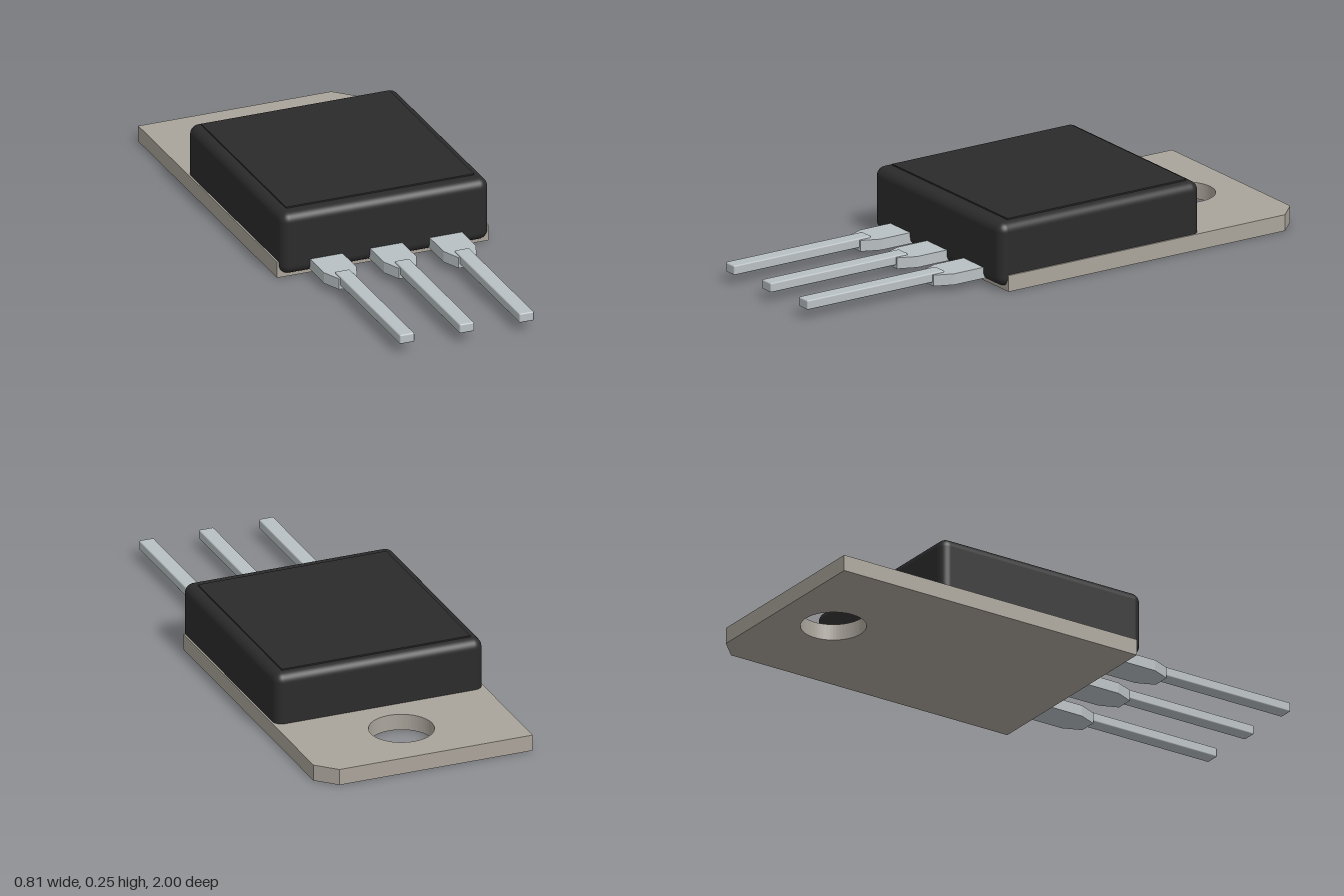
import * as THREE from 'three';
import { RoundedBoxGeometry } from 'three/addons/geometries/RoundedBoxGeometry.js';

const material = (name, color) => {
  const m = new THREE.MeshStandardMaterial({ color });
  m.name = name;
  return m;
};

// Extrudes an outline of [x, z] points upwards from y0 to y1
function slab(points, y0, y1, hole) {
  const shape = new THREE.Shape(points.map(([x, z]) => new THREE.Vector2(x, -z)));
  if (hole) {
    const path = new THREE.Path();
    path.absarc(hole.x, -hole.z, hole.r, 0, Math.PI * 2, true);
    shape.holes.push(path);
  }
  const geometry = new THREE.ExtrudeGeometry(shape, { depth: y1 - y0, bevelEnabled: false, curveSegments: 32 });
  return geometry.rotateX(-Math.PI / 2).translate(0, y0, 0);
}

// Rounded box given by its lower and upper corners
function roundedBox([x0, y0, z0], [x1, y1, z1], radius, segments) {
  return new RoundedBoxGeometry(x1 - x0, y1 - y0, z1 - z0, segments, radius)
    .translate((x0 + x1) / 2, (y0 + y1) / 2, (z0 + z1) / 2);
}

export function createModel() {
  const model = new THREE.Group();
  model.name = 'powerTransistor';
  const tabMetal = material('tab metal', 0xaaa49b);
  const plastic = material('black plastic', 0x2b2b2b);
  const tin = material('tinned lead', 0xb9c0c3);

  const add = (parent, name, geometry, mat) => {
    const mesh = new THREE.Mesh(geometry, mat);
    mesh.name = name;
    parent.add(mesh);
  };

  // Metal tab with mounting hole and one clipped corner
  add(model, 'mountingTab', slab(
    [[-0.403, 0.245], [0.403, 0.245], [0.403, -0.93], [0.333, -1], [-0.403, -1]],
    0, 0.06, { x: 0, z: -0.77, r: 0.116 }), tabMetal);

  // Moulded case and its slightly raised top panel
  add(model, 'case', roundedBox([-0.397, 0.014, -0.577], [0.397, 0.25, 0.275], 0.035, 5), plastic);
  add(model, 'topPanel', new THREE.BoxGeometry(0.718, 0.009, 0.76).translate(0, 0.2505, -0.16), plastic);

  // Three leads, each a tapered shoulder with a thin pin
  for (const [name, x] of [['rightLead', -0.228], ['middleLead', 0], ['leftLead', 0.228]]) {
    const lead = new THREE.Group();
    lead.name = name;
    lead.position.x = x;
    add(lead, 'shoulder', slab(
      [[-0.062, 0.2], [-0.062, 0.4], [-0.034, 0.468], [0.034, 0.468], [0.062, 0.4], [0.062, 0.2]],
      0.024, 0.065), tin);
    add(lead, 'pin', roundedBox([-0.028, 0.036, 0.417], [0.028, 0.071, 1], 0.005, 2), tin);
    model.add(lead);
  }
  return model;
}
